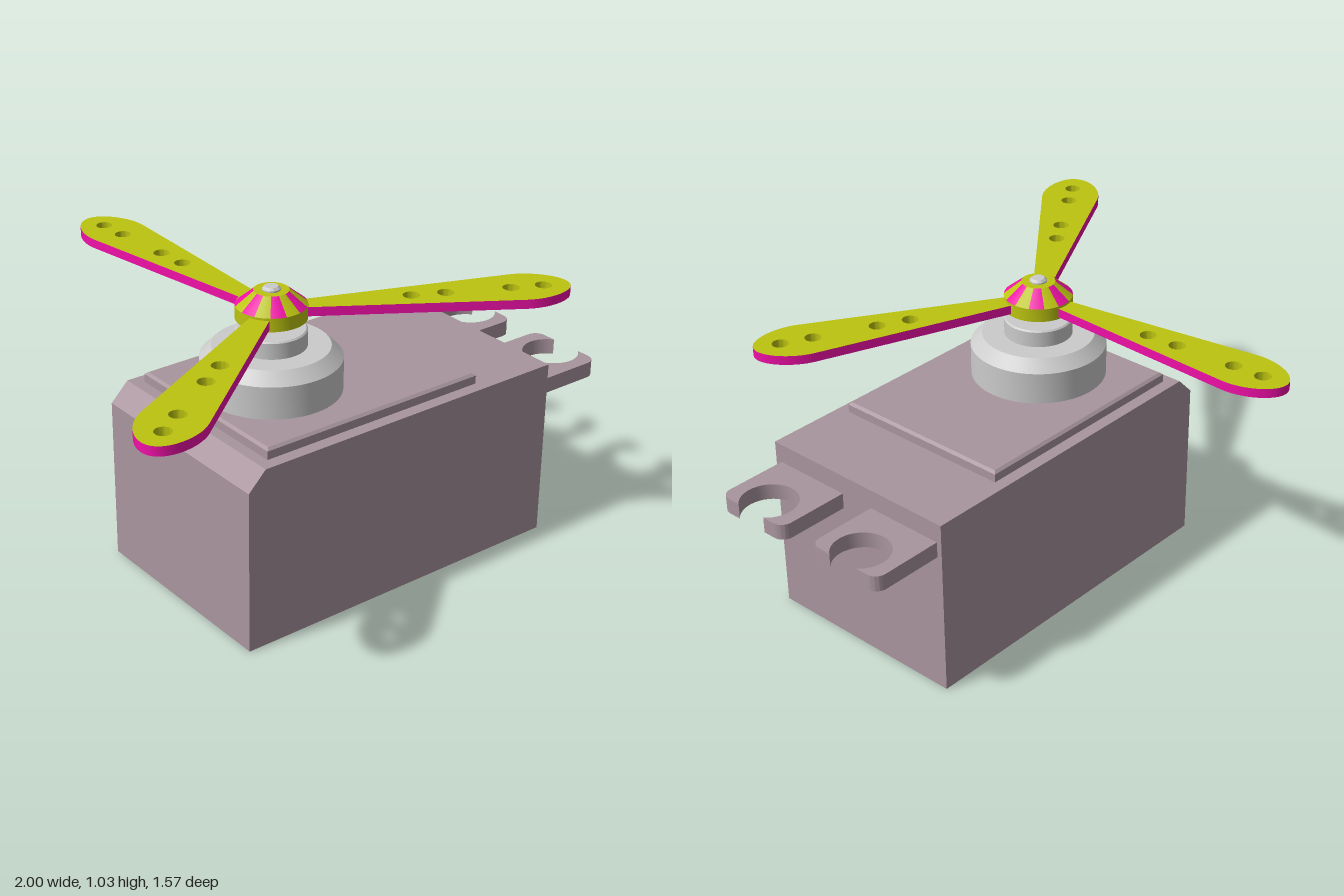
import * as THREE from 'three';
import { toCreasedNormals } from 'three/addons/utils/BufferGeometryUtils.js';

const paint = (color) => new THREE.MeshStandardMaterial({ color });
const AXIS_X = -0.155, AXIS_Z = 0.205;

export function createModel() {
  const model = new THREE.Group();
  const mauve = paint(0xa9959e), grey = paint(0xcccccc);
  const olive = paint(0xbcc410), pink = paint(0xf010a8);

  const add = (name, geometry, material, parent = model) => {
    const mesh = new THREE.Mesh(geometry, material);
    mesh.name = name;
    parent.add(mesh);
    return mesh;
  };
  const polygon = (points) => new THREE.Shape(points.map(([x, y]) => new THREE.Vector2(x, y)));
  const turned = (points) =>
    toCreasedNormals(new THREE.LatheGeometry(points.map(([r, y]) => new THREE.Vector2(r, y)), 56), 0.4);
  // Extrudes a plan outline upwards from height y
  const slab = (shape, y, depth) =>
    new THREE.ExtrudeGeometry(shape, { depth, bevelEnabled: false, curveSegments: 16 })
      .rotateX(-Math.PI / 2).translate(0, y, 0);

  // Housing with one chamfered top edge
  const side = polygon([[-0.53, 0], [0.735, 0], [0.735, 0.64], [-0.465, 0.64], [-0.53, 0.575]]);
  add('housing', new THREE.ExtrudeGeometry(side, { depth: 0.762, bevelEnabled: false })
    .translate(0, 0, -0.178), mauve);

  // Raised lid with a small bevel, its lower bevel sunk in the housing
  const lid = polygon([[-0.415, -0.53], [0.43, -0.53], [0.43, 0.125], [-0.415, 0.125]]);
  add('lid', new THREE.ExtrudeGeometry(lid, {
    depth: 0.045, bevelThickness: 0.008, bevelSize: 0.01, bevelSegments: 1,
  }).rotateX(-Math.PI / 2).translate(0, 0.624, 0), mauve);

  // Two mounting ears, each with a round notch open at the outer end
  const x0 = 0.725, x1 = 0.998, half = 0.147, corner = 0.04;
  const notchX = 0.92, notchR = 0.098;
  const gap = Math.acos((x1 - notchX) / notchR);
  const ear = new THREE.Shape();
  ear.moveTo(x0, -half);
  ear.lineTo(x1 - corner, -half);
  ear.absarc(x1 - corner, -half + corner, corner, -Math.PI / 2, 0, false);
  ear.absarc(notchX, 0, notchR, -gap, gap, true);
  ear.absarc(x1 - corner, half - corner, corner, 0, Math.PI / 2, false);
  ear.lineTo(x0, half);
  for (const z of [-0.012, 0.412]) {
    const geometry = toCreasedNormals(slab(ear, 0.515, 0.056), 0.5);
    add(z < 0 ? 'backMountingEar' : 'frontMountingEar', geometry, mauve).position.z = z;
  }

  // Stepped bearing boss and output shaft
  const drive = new THREE.Group();
  drive.name = 'drive';
  drive.position.set(AXIS_X, 0, AXIS_Z);
  model.add(drive);
  add('bearingBoss', turned([
    [0.235, 0.66], [0.235, 0.79], [0.195, 0.83], [0.118, 0.83],
    [0.118, 0.885], [0.113, 0.89], [0, 0.89],
  ]), grey, drive);
  add('shaft', turned([
    [0.041, 0.88], [0.041, 0.94], [0.03, 0.94], [0.03, 1.027], [0.022, 1.035], [0, 1.035],
  ]), grey, drive);

  // Hub: plain band, striped cone, flat top
  const hub = new THREE.Group();
  hub.name = 'hub';
  drive.add(hub);
  add('hubBand', turned([[0, 0.926], [0.118, 0.926], [0.118, 0.973]]), olive, hub);
  const stripes = 14, step = (Math.PI * 2) / stripes;
  for (let i = 0; i < stripes; i++) {
    const wedge = new THREE.CylinderGeometry(0.058, 0.118, 0.049, 4, 1, true,
      Math.PI + (i - 0.5) * step, step).translate(0, 0.9975, 0);
    add('hubStripe', wedge, i % 2 ? olive : pink, hub);
  }
  add('hubTop', turned([[0.058, 1.022], [0.028, 1.022]]), olive, hub);

  // Three drilled arms with coloured rims
  const arm = new THREE.Shape();
  arm.moveTo(0.08, -0.03);
  arm.lineTo(0.82, -0.105);
  arm.bezierCurveTo(0.9, -0.112, 0.995, -0.06, 0.995, 0);
  arm.bezierCurveTo(0.995, 0.06, 0.9, 0.112, 0.82, 0.105);
  arm.lineTo(0.08, 0.03);
  for (const r of [0.46, 0.575, 0.795, 0.905]) {
    arm.holes.push(new THREE.Path().absarc(r, 0, 0.028, 0, Math.PI * 2, true));
  }
  const armGeometry = toCreasedNormals(slab(arm, 0.933, 0.032), 0.5);
  // Rim faces come first among the side walls; the hole walls keep the face colour
  const walls = armGeometry.groups[1];
  const rimCount = arm.extractPoints(16).shape.length * 6;
  armGeometry.addGroup(walls.start + rimCount, walls.count - rimCount, 0);
  walls.count = rimCount;
  for (let i = 0; i < 3; i++) {
    add('arm', armGeometry, [olive, pink], drive).rotation.y =
      THREE.MathUtils.degToRad(93.2 + i * 120);
  }
  return model;
}
